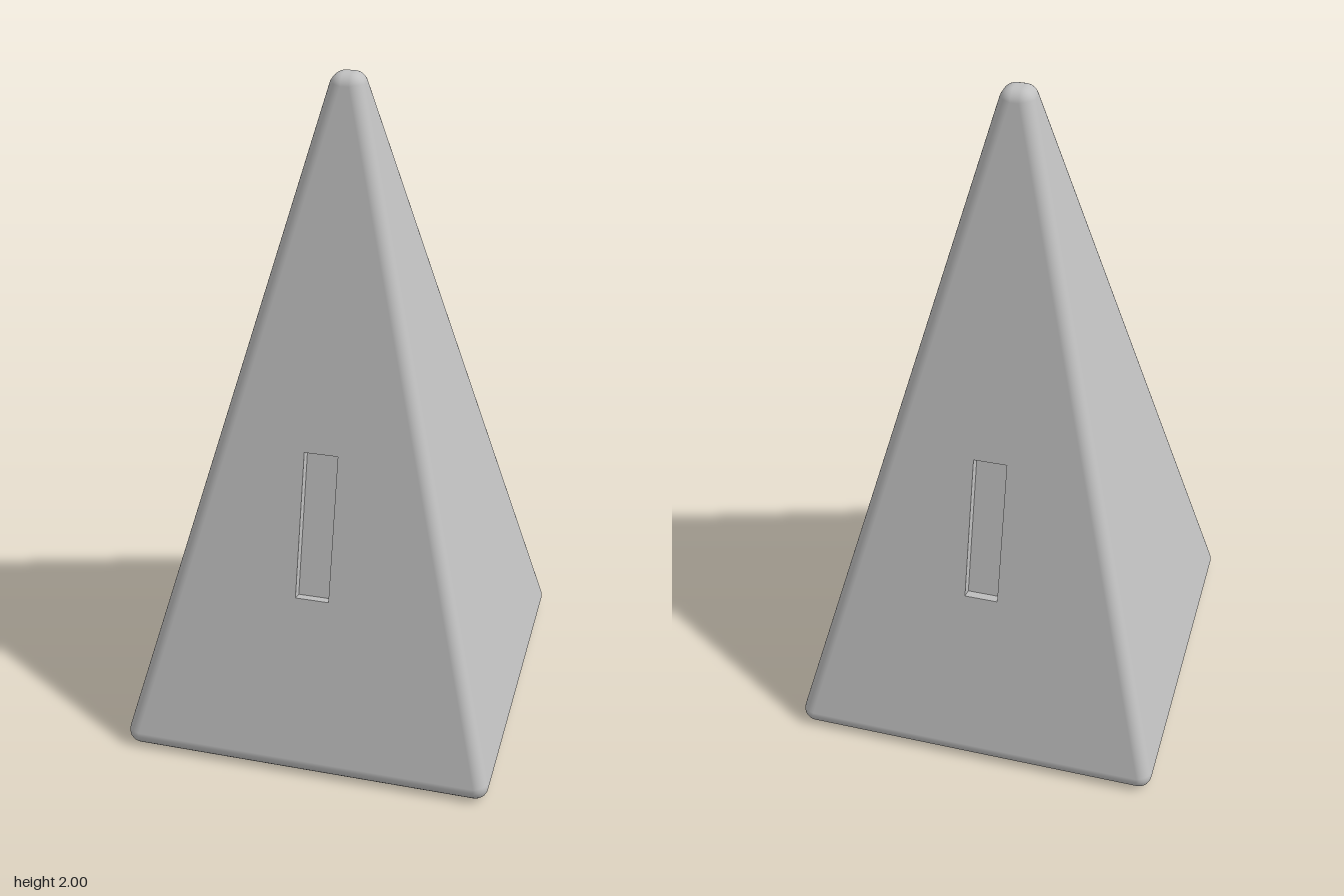
import * as THREE from 'three';

const R = 0.04;            // edge rounding
const HEIGHT = 2;
const BASE = 0.52;         // half width of the core at the bottom
const TIP = 0.012;         // half width of the core at the top
const K = (BASE - TIP) / (HEIGHT - 2 * R);
const TILT = Math.atan(K);
const DEPTH = 0.036;       // depth of all grooves

const grey = new THREE.MeshStandardMaterial({ color: 0xc0c0c0 });
grey.name = 'plain grey';

const toShape = (pts) => new THREE.Shape(pts.map(([x, y]) => new THREE.Vector2(x, y)));

// Rounded corners, rims and tip: spheres swept along the edges of a frustum
function roundedEdges() {
  const N = 8, M = 6, pos = [], nor = [], idx = [];
  const rows = 2 * (M + 1), cols = 4 * (N + 1);
  for (let c = 0; c < 4; c++) {
    const mid = (c + 0.5) * Math.PI / 2;
    const sx = Math.sign(Math.cos(mid)), sz = Math.sign(Math.sin(mid));
    for (let i = 0; i <= N; i++) {
      const a = (c + i / N) * Math.PI / 2;
      const seam = Math.atan(K * (Math.abs(Math.cos(a)) + Math.abs(Math.sin(a))));
      for (let j = 0; j < rows; j++) {
        const low = j <= M;
        const t = low ? j / M : (j - M - 1) / M;
        const lat = low ? THREE.MathUtils.lerp(-Math.PI / 2, seam, t)
                        : THREE.MathUtils.lerp(seam, Math.PI / 2, t);
        const h = low ? BASE : TIP, y = low ? R : HEIGHT - R;
        const n = [Math.cos(lat) * Math.cos(a), Math.sin(lat), Math.cos(lat) * Math.sin(a)];
        nor.push(...n);
        pos.push(sx * h + R * n[0], y + R * n[1], sz * h + R * n[2]);
      }
    }
  }
  for (let i = 0; i < cols; i++) {
    const flat = i % (N + 1) === N;
    for (let j = 0; j < rows - 1; j++) {
      if (flat && j === M) continue;       // the flat sides are separate panels
      const a = i * rows + j, b = ((i + 1) % cols) * rows + j;
      idx.push(b, a, a + 1, b, a + 1, b + 1);
    }
  }
  const g = new THREE.BufferGeometry();
  g.setAttribute('position', new THREE.Float32BufferAttribute(pos, 3));
  g.setAttribute('normal', new THREE.Float32BufferAttribute(nor, 3));
  g.setIndex(idx);
  return g;
}

// Panel facing +z with grooves sunk into it
function panel(name, outline, grooves = []) {
  const group = new THREE.Group();
  group.name = name;
  const face = toShape(outline);
  if (!grooves.length) {
    group.add(new THREE.Mesh(new THREE.ShapeGeometry(face), grey));
  } else {
    face.holes = grooves.map(toShape);
    const body = new THREE.ExtrudeGeometry(face, { depth: DEPTH, bevelEnabled: false });
    const floor = new THREE.ShapeGeometry(grooves.map(toShape));
    group.add(new THREE.Mesh(body.translate(0, 0, -DEPTH), grey));
    group.add(new THREE.Mesh(floor.translate(0, 0, -DEPTH), grey));
    group.children[1].name = name + 'GrooveFloor';
  }
  group.children[0].name = name + 'Face';
  return group;
}

export function createModel() {
  const model = new THREE.Group();
  model.name = 'pyramid';

  const edges = new THREE.Mesh(roundedEdges(), grey);
  edges.name = 'roundedEdges';
  model.add(edges);

  // Four sloping sides, with an upright slot in the front and the back
  const slope = Math.hypot(HEIGHT - 2 * R, BASE - TIP);
  const trapezoid = [[-BASE, 0], [BASE, 0], [TIP, slope], [-TIP, slope]];
  const slot = [[-0.05, 0.507], [0.05, 0.507], [0.05, 0.947], [-0.05, 0.947]];
  ['frontSide', 'leftSide', 'backSide', 'rightSide'].forEach((name, i) => {
    const side = panel(name, trapezoid, i % 2 ? [] : [slot]);
    side.rotation.x = -TILT;
    side.position.set(0, R + R * Math.sin(TILT), BASE + R * Math.cos(TILT));
    const turn = new THREE.Group();
    turn.name = name + 'Turn';
    turn.rotation.y = i * Math.PI / 2;
    turn.add(side);
    model.add(turn);
  });

  // Underside with two chevron grooves and a bar groove
  const chevron = (x) => [[x, 0], [x + 0.19, -0.21], [x + 0.305, -0.21],
    [x + 0.115, 0], [x + 0.305, 0.21], [x + 0.19, 0.21]];
  const bar = [[-0.35, -0.21], [-0.255, -0.21], [-0.255, 0.21], [-0.35, 0.21]];
  const square = (h) => [[-h, -h], [h, -h], [h, h], [-h, h]];
  const underside = panel('underside', square(BASE), [chevron(0.05), chevron(-0.19), bar]);
  underside.rotation.x = Math.PI / 2;
  model.add(underside);

  // Small flat on the tip
  const tip = panel('tip', square(TIP));
  tip.rotation.x = -Math.PI / 2;
  tip.position.y = HEIGHT;
  model.add(tip);

  return model;
}
